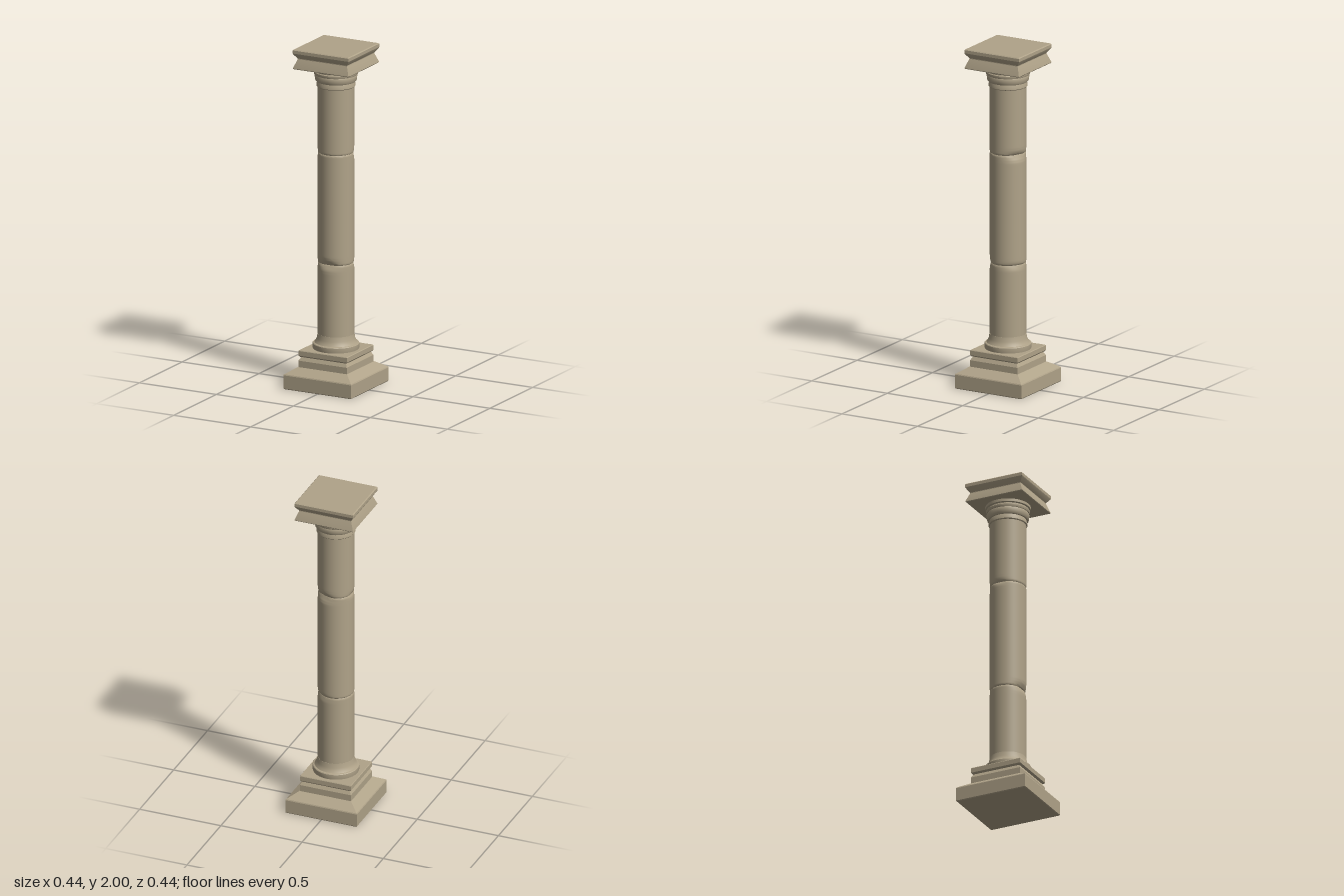
import * as THREE from 'three';
import { toCreasedNormals } from 'three/addons/utils/BufferGeometryUtils.js';

export function createModel() {
  const column = new THREE.Group();
  column.name = 'column';
  const stone = new THREE.MeshStandardMaterial({ color: 0xb0a389 });
  stone.name = 'sandstone';

  const add = (name, geometry, crease) => {
    const mesh = new THREE.Mesh(toCreasedNormals(geometry, crease), stone);
    mesh.name = name;
    column.add(mesh);
  };

  // Square moulding: profile of [half width, height] from bottom to top
  const square = (name, profile) => {
    const pts = profile.map(([w, y]) => new THREE.Vector2(w * Math.SQRT2, y));
    add(name, new THREE.LatheGeometry(pts, 4, Math.PI / 4), 0.3);
  };

  // Round moulding: profile of [radius, height] from bottom to top
  const round = (name, profile) => {
    const pts = profile.map(([r, y]) => new THREE.Vector2(r, y));
    add(name, new THREE.LatheGeometry(pts, 48), 0.6);
  };

  // Stepped square base
  square('plinth', [[0, 0], [0.216, 0], [0.22, 0.005], [0.22, 0.082], [0.217, 0.088],
    [0.16, 0.124], [0, 0.124]]);
  square('baseMoulding', [[0, 0.12], [0.157, 0.12], [0.157, 0.162], [0.143, 0.186], [0, 0.186]]);
  square('baseSlab', [[0, 0.184], [0.15, 0.184], [0.157, 0.192], [0.157, 0.219],
    [0.154, 0.223], [0, 0.223]]);

  // Round foot flaring out of the shaft
  round('shaftFoot', [[0, 0.222], [0.132, 0.222], [0.133, 0.226], [0.133, 0.252], [0.13, 0.256],
    [0.122, 0.258], [0.115, 0.268], [0.109, 0.284], [0.105, 0.31], [0, 0.31]]);

  // Worn patches on the drum edges: angle from +z towards +x, height, depth, spread
  const chips = [
    { angle: 0, y: 0.73, depth: 0.014, spread: 0.6, height: 0.022 },
    { angle: 2.5, y: 0.725, depth: 0.007, spread: 0.7, height: 0.016 },
    { angle: 2.7, y: 1.375, depth: 0.014, spread: 0.65, height: 0.022 },
    { angle: -1.57, y: 1.38, depth: 0.006, spread: 0.4, height: 0.016 },
  ];

  // Shaft drums with eased edges, chipped around the joints
  const drum = (name, y0, y1) => {
    const r = 0.104;
    const pts = [[0, y0], [r - 0.004, y0], [r - 0.001, y0 + 0.003]];
    for (let d = 0.008; d < 0.07; d += 0.008) pts.push([r, y0 + d]);
    for (let d = 0.064; d > 0.005; d -= 0.008) pts.push([r, y1 - d]);
    pts.push([r - 0.001, y1 - 0.003], [r - 0.004, y1], [0, y1]);
    const geometry = new THREE.LatheGeometry(pts.map(([x, y]) => new THREE.Vector2(x, y)), 48);
    const pos = geometry.attributes.position;
    for (let i = 0; i < pos.count; i++) {
      const x = pos.getX(i), y = pos.getY(i), z = pos.getZ(i);
      const radius = Math.hypot(x, z);
      if (radius < 0.05) continue;
      let cut = 0;
      for (const c of chips) {
        const turn = Math.atan2(x, z) - c.angle;
        const a = Math.atan2(Math.sin(turn), Math.cos(turn)) / c.spread;
        const h = (y - c.y) / c.height;
        cut += c.depth * Math.exp(-a * a - h * h);
      }
      const k = (radius - cut) / radius;
      pos.setXYZ(i, x * k, y, z * k);
    }
    add(name, geometry, 0.6);
  };
  drum('lowerDrum', 0.29, 0.73);
  drum('middleDrum', 0.73, 1.38);
  drum('upperDrum', 1.38, 1.79);

  // Stacked rings of the neck
  round('neckRing', [[0, 1.768], [0.108, 1.768], [0.111, 1.772], [0.11, 1.785], [0.105, 1.802], [0, 1.802]]);
  round('middleRing', [[0, 1.8], [0.114, 1.8], [0.119, 1.808], [0.122, 1.834], [0.119, 1.84],
    [0.111, 1.842], [0, 1.842]]);
  round('upperRing', [[0, 1.84], [0.124, 1.84], [0.126, 1.844], [0.126, 1.856], [0.122, 1.86],
    [0.122, 1.864], [0.13, 1.868], [0.13, 1.886], [0, 1.886]]);

  // Square capital with a waist
  square('capital', [[0, 1.884], [0.177, 1.884], [0.18, 1.888], [0.179, 1.893], [0.16, 1.942], [0.16, 1.946],
    [0.179, 1.972], [0.181, 1.977], [0.181, 1.995], [0.176, 2], [0, 2]]);

  return column;
}
